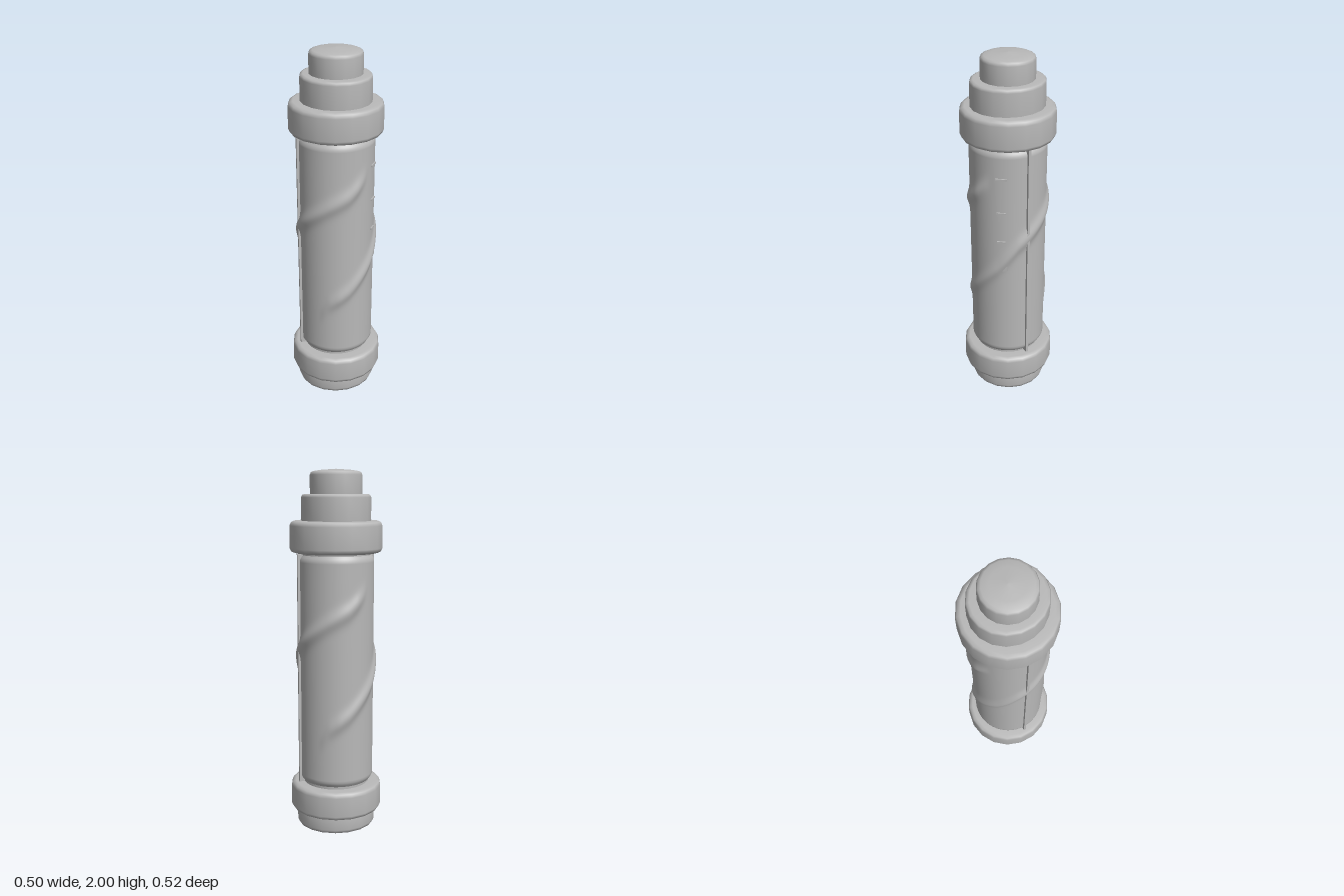
import * as THREE from 'three';
import { mergeVertices } from 'three/addons/utils/BufferGeometryUtils.js';

const grey = new THREE.MeshStandardMaterial({ color: 0xb8b8b8 });
grey.name = 'plain grey';

// Closed turned part with softened rims; dome lifts the middle of the end faces
function turned(name, y0, y1, r, bevel, dome0 = 0, dome1 = 0, zScale = 1, sides = 18) {
  const b = bevel, k = b * 0.3;
  const profile = [
    [0, y0], [r * 0.6, y0 + dome0 * 0.5], [r - b, y0 + dome0], [r - k, y0 + dome0 + k],
    [r, y0 + dome0 + b], [r, y1 - dome1 - b], [r - k, y1 - dome1 - k],
    [r - b, y1 - dome1], [r * 0.6, y1 - dome1 * 0.5], [0, y1],
  ].map(([x, y]) => new THREE.Vector2(x, y));
  const mesh = new THREE.Mesh(new THREE.LatheGeometry(profile, sides), grey);
  mesh.name = name;
  mesh.scale.z = zScale;
  return mesh;
}

// Ridge centre line: angle in degrees (from +z towards +x) against height
const RIDGE = [[-45, 0.52], [-30, 0.61], [0, 0.69], [45, 0.86], [75, 1.0],
  [110, 1.1], [150, 1.2], [180, 1.26], [212, 1.37]];

function ridgeHeight(deg, y) {
  for (let i = 0; i < RIDGE.length - 1; i++) {
    const [a0, h0] = RIDGE[i], [a1, h1] = RIDGE[i + 1];
    if (deg < a0 || deg > a1) continue;
    const h = h0 + (h1 - h0) * (deg - a0) / (a1 - a0);
    const fade = Math.min(1, (deg + 45) / 30, (212 - deg) / 20);
    return 0.016 * fade * Math.exp(-(((y - h) / 0.045) ** 2));
  }
  return 0;
}

// Grip sleeve: a cylinder with two raised spirals half a turn apart
function grip() {
  const y0 = 0.285, y1 = 1.55, r = 0.207;
  const g = new THREE.CylinderGeometry(r, r, y1 - y0, 96, 100, true);
  g.translate(0, (y0 + y1) / 2, 0);
  g.deleteAttribute('uv');
  g.deleteAttribute('normal');
  const p = g.attributes.position;
  for (let i = 0; i < p.count; i++) {
    const x = p.getX(i), y = p.getY(i), z = p.getZ(i);
    const deg = Math.atan2(x, z) * 180 / Math.PI;
    let bump = 0;
    for (let turn = -360; turn <= 360; turn += 180) bump = Math.max(bump, ridgeHeight(deg + turn, y));
    const end = Math.min(y - y0, y1 - y);
    const radius = r + bump - Math.max(0, 0.022 - end) * 0.7;
    p.setXYZ(i, x / r * radius, y, z / r * radius);
  }
  const merged = mergeVertices(g, 1e-5);
  merged.computeVertexNormals();
  const mesh = new THREE.Mesh(merged, grey);
  mesh.name = 'gripSleeve';
  return mesh;
}

export function createModel() {
  const model = new THREE.Group();
  model.name = 'cylinderHandle';

  model.add(
    turned('baseCap', 0, 0.125, 0.222, 0.025, 0.012, 0, 0.97),
    turned('lowerCollar', 0.108, 0.268, 0.256, 0.026, 0, 0, 1.01),
    turned('core', 0.2, 1.62, 0.185, 0.01, 0, 0, 1, 32),
    grip(),
    turned('upperCollar', 1.56, 1.73, 0.252, 0.026),
    turned('neck', 1.71, 1.87, 0.188, 0.018, 0, 0, 1.06),
    turned('topButton', 1.85, 2, 0.141, 0.02, 0, 0.012, 1.01),
  );

  // Thin raised seams where the two grip halves meet
  for (const side of [-1, 1]) {
    const seam = new THREE.Mesh(new THREE.BoxGeometry(0.03, 1.28, 0.014), grey);
    seam.name = side > 0 ? 'leftSeam' : 'rightSeam';
    seam.position.set(side * 0.205, 0.915, 0);
    model.add(seam);
  }

  // Small chips: height, angle, width, thickness
  for (const [y, deg, w, h] of [[1.4, 50, 0.06, 0.01], [1.205, 50, 0.05, 0.008],
    [1.03, 50, 0.045, 0.01], [0.865, 52, 0.055, 0.03]]) {
    const holder = new THREE.Group();
    holder.name = 'chip';
    holder.rotation.y = THREE.MathUtils.degToRad(deg);
    const chip = new THREE.Mesh(new THREE.BoxGeometry(w, h, 0.02), grey);
    chip.name = 'chipEdge';
    chip.position.set(0, y, 0.204);
    holder.add(chip);
    model.add(holder);
  }
  return model;
}
